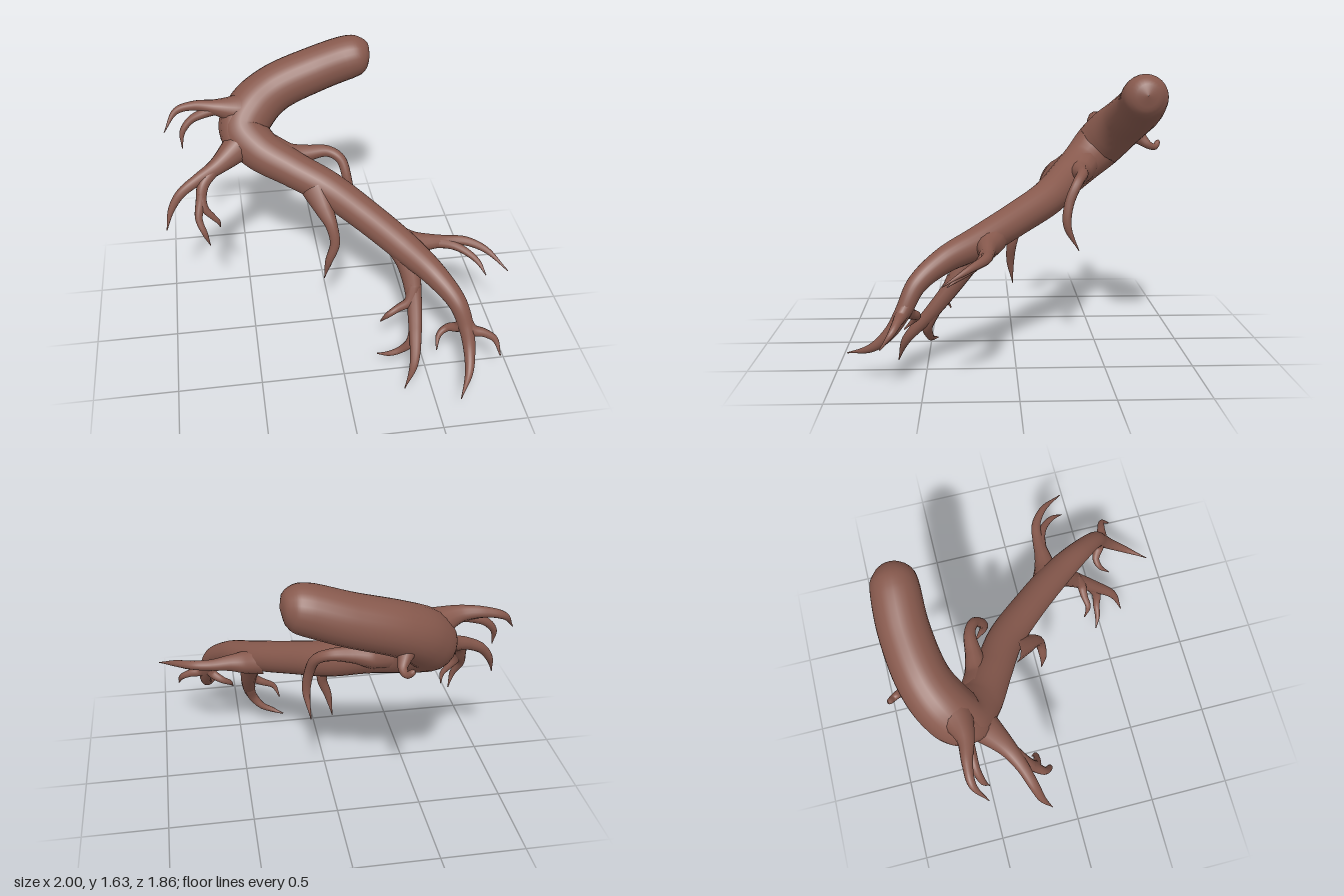
import * as THREE from 'three';
import { mergeVertices } from 'three/addons/utils/BufferGeometryUtils.js';

const bark = new THREE.MeshStandardMaterial({ color: 0x87594d });
bark.name = 'bark';

// Tapered limb swept through rows of [x, y, z, radius].
function limb(name, rows, sides = 12) {
  const curve = new THREE.CatmullRomCurve3(rows.map(([x, y, z]) => new THREE.Vector3(x, y, z)));
  const taper = new THREE.SplineCurve(rows.map((row, i) => new THREE.Vector2(i, row[3])));
  const rings = Math.max(24, Math.ceil(curve.getLength() * 75));
  let geo = new THREE.TubeGeometry(curve, rings, 1, sides);
  const pos = geo.attributes.position;
  const v = new THREE.Vector3();
  for (let i = 0; i <= rings; i++) {
    const centre = curve.getPointAt(i / rings);
    const radius = Math.max(0.001, taper.getPoint(curve.getUtoTmapping(i / rings)).y);
    for (let j = 0; j <= sides; j++) {
      const k = i * (sides + 1) + j;
      v.fromBufferAttribute(pos, k).sub(centre).multiplyScalar(radius).add(centre);
      pos.setXYZ(k, v.x, v.y, v.z);
    }
  }
  // Weld the seam so the shading is smooth all round.
  geo.deleteAttribute('uv');
  geo.deleteAttribute('normal');
  geo = mergeVertices(geo, 1e-5);
  geo.computeVertexNormals();
  const mesh = new THREE.Mesh(geo, bark);
  mesh.name = name;
  return mesh;
}

export function createModel() {
  const root = new THREE.Group();
  root.name = 'root';

  // Thick main root: rounded cut end, sharp bend, long taper to the lowest finger
  root.add(limb('mainRoot', [
    [0.342, 1.52, -0.74, 0], [0.335, 1.52, -0.74, 0.05], [0.315, 1.52, -0.74, 0.088],
    [0.27, 1.515, -0.74, 0.122], [0.2, 1.5, -0.745, 0.135], [0, 1.432, -0.75, 0.141],
    [-0.27, 1.335, -0.71, 0.148], [-0.41, 1.245, -0.64, 0.158], [-0.475, 1.15, -0.56, 0.155],
    [-0.39, 1.06, -0.455, 0.132], [-0.2, 0.978, -0.33, 0.113], [0, 0.897, -0.21, 0.107],
    [0.2, 0.81, -0.02, 0.099], [0.4, 0.715, 0.2, 0.092], [0.55, 0.64, 0.4, 0.072],
    [0.655, 0.535, 0.54, 0.055], [0.7, 0.4, 0.61, 0.045], [0.71, 0.29, 0.68, 0.035],
    [0.69, 0.2, 0.78, 0.024], [0.61, 0.145, 0.925, 0.003],
  ], 24));

  const limbs = {
    // Web filling the fork between the two roots at the bend
    bendWeb: [[-0.42, 1.3, -0.62, 0.08], [-0.5, 1.25, -0.58, 0.095], [-0.525, 1.17, -0.535, 0.1],
      [-0.51, 1.1, -0.485, 0.09], [-0.45, 1.06, -0.46, 0.07]],
    // End of the main root
    endFingerOuter: [[0.69, 0.45, 0.58, 0.04], [0.735, 0.385, 0.62, 0.034], [0.8, 0.368, 0.635, 0.026],
      [0.865, 0.33, 0.66, 0.019], [0.89, 0.25, 0.72, 0.004]],
    endFingerInner: [[0.695, 0.46, 0.59, 0.04], [0.665, 0.385, 0.58, 0.032], [0.605, 0.35, 0.545, 0.023],
      [0.555, 0.315, 0.56, 0.017], [0.53, 0.25, 0.62, 0.004]],
    // Lower front root hanging beneath the main one
    lowerRoot: [[0.38, 0.72, 0.16, 0.09], [0.42, 0.625, 0.25, 0.07], [0.438, 0.47, 0.355, 0.05],
      [0.43, 0.31, 0.48, 0.041], [0.4, 0.15, 0.62, 0.026], [0.34, 0.008, 0.672, 0.003]],
    lowerFingerLong: [[0.435, 0.34, 0.45, 0.035], [0.405, 0.225, 0.5, 0.03], [0.35, 0.155, 0.49, 0.022],
      [0.28, 0.12, 0.48, 0.016], [0.21, 0.1, 0.45, 0.004]],
    lowerFingerShort: [[0.44, 0.53, 0.34, 0.04], [0.405, 0.44, 0.385, 0.031], [0.34, 0.4, 0.39, 0.023],
      [0.275, 0.36, 0.4, 0.017], [0.24, 0.29, 0.37, 0.004]],
    // Side root reaching +x
    sideRoot: [[0.36, 0.72, 0.13, 0.085], [0.46, 0.7, 0.155, 0.072], [0.56, 0.7, 0.16, 0.05],
      [0.67, 0.695, 0.16, 0.035], [0.78, 0.695, 0.175, 0.028], [0.89, 0.675, 0.25, 0.02], [0.995, 0.61, 0.39, 0.003]],
    sideFinger: [[0.6, 0.7, 0.16, 0.038], [0.71, 0.68, 0.19, 0.027], [0.79, 0.65, 0.24, 0.021],
      [0.84, 0.62, 0.3, 0.015], [0.87, 0.575, 0.37, 0.003]],
    // Single hanging root at the middle
    middleRoot: [[-0.07, 0.9, -0.2, 0.09], [-0.035, 0.82, -0.1, 0.06], [0, 0.74, -0.03, 0.038],
      [0.015, 0.63, 0.005, 0.031], [-0.025, 0.5, 0.015, 0.023], [-0.05, 0.36, 0, 0.003]],
    // Arched root on the back side
    archedRoot: [[-0.35, 1.06, -0.46, 0.1], [-0.22, 1.02, -0.42, 0.082], [-0.1, 1.03, -0.415, 0.052],
      [0.03, 1.035, -0.41, 0.035], [0.105, 0.995, -0.375, 0.031], [0.14, 0.88, -0.325, 0.029],
      [0.155, 0.75, -0.315, 0.024], [0.138, 0.6, -0.385, 0.003]],
    // Root reaching -x from beneath the bend
    bendLowerRoot: [[-0.46, 1.12, -0.52, 0.12], [-0.56, 1.065, -0.435, 0.085], [-0.67, 1.015, -0.355, 0.053],
      [-0.78, 0.975, -0.3, 0.038], [-0.89, 0.91, -0.26, 0.03], [-0.955, 0.82, -0.23, 0.021], [-0.995, 0.7, -0.18, 0.003]],
    bendLowerFingerLong: [[-0.68, 1.01, -0.34, 0.038], [-0.75, 0.95, -0.28, 0.036], [-0.775, 0.86, -0.23, 0.031],
      [-0.795, 0.77, -0.175, 0.023], [-0.765, 0.68, -0.135, 0.017], [-0.74, 0.585, -0.145, 0.003]],
    bendLowerFingerShort: [[-0.77, 0.91, -0.25, 0.028], [-0.755, 0.82, -0.21, 0.024], [-0.71, 0.76, -0.2, 0.019],
      [-0.68, 0.72, -0.2, 0.014], [-0.67, 0.665, -0.22, 0.003]],
    // Root reaching -x from above the bend
    bendUpperRoot: [[-0.42, 1.25, -0.62, 0.13], [-0.53, 1.285, -0.58, 0.085], [-0.64, 1.315, -0.565, 0.049],
      [-0.77, 1.325, -0.585, 0.03], [-0.88, 1.295, -0.585, 0.021], [-0.96, 1.19, -0.52, 0.003]],
    bendUpperFinger: [[-0.62, 1.31, -0.56, 0.036], [-0.71, 1.285, -0.555, 0.03], [-0.79, 1.25, -0.55, 0.024],
      [-0.85, 1.18, -0.53, 0.018], [-0.86, 1.08, -0.5, 0.003]],
    // Small curled twig at the back
    backTwig: [[-0.32, 1.28, -0.74, 0.085], [-0.285, 1.22, -0.81, 0.042], [-0.265, 1.18, -0.86, 0.024],
      [-0.28, 1.17, -0.9, 0.02], [-0.305, 1.2, -0.922, 0.015], [-0.31, 1.21, -0.928, 0]],
  };
  for (const [name, rows] of Object.entries(limbs)) root.add(limb(name, rows));

  return root;
}
